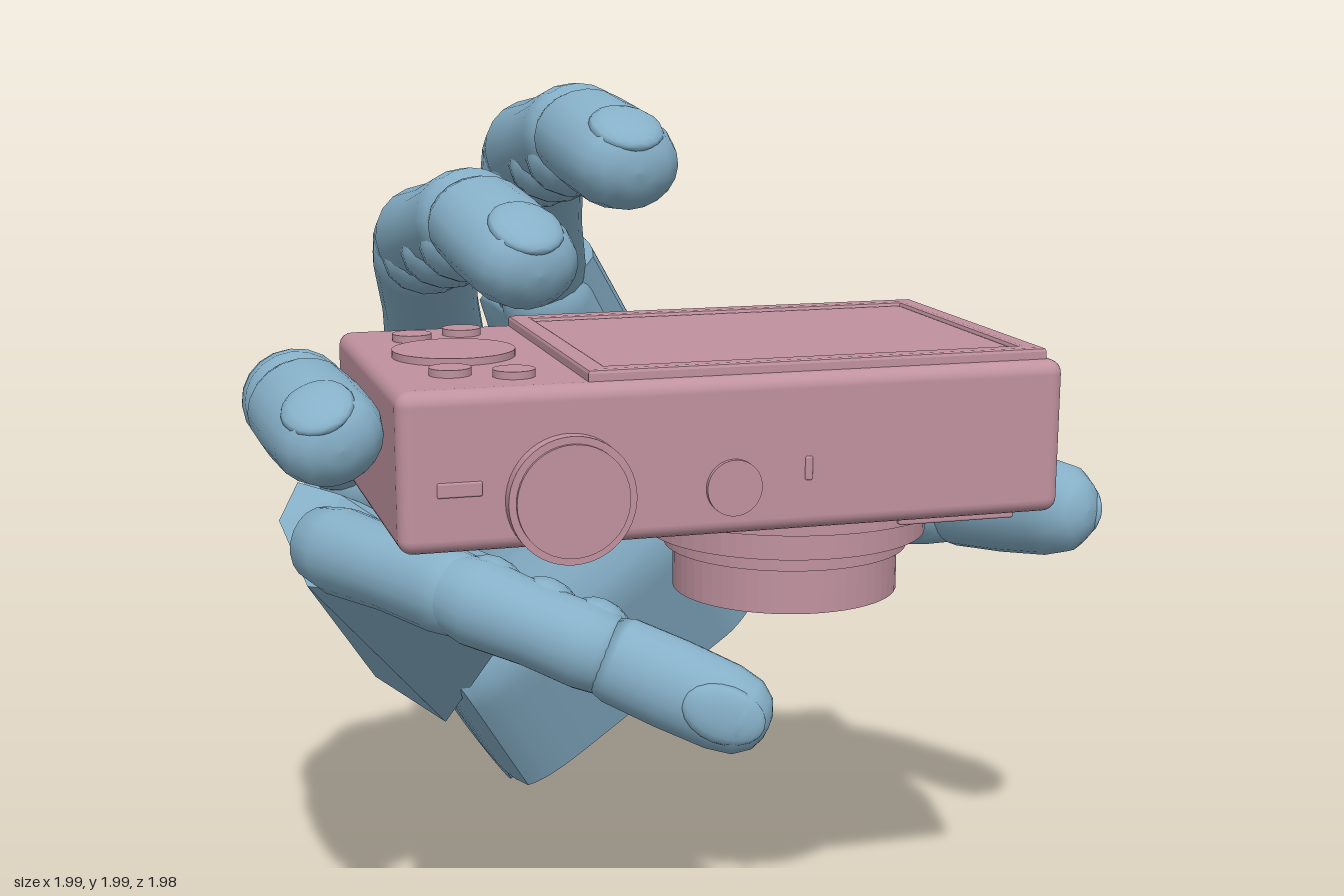
import * as THREE from 'three';
import { RoundedBoxGeometry } from 'three/addons/geometries/RoundedBoxGeometry.js';
import { ConvexGeometry } from 'three/addons/geometries/ConvexGeometry.js';

const handMat = new THREE.MeshStandardMaterial({ color: 0x86b0c8 });
const cameraMat = new THREE.MeshStandardMaterial({ color: 0xc0929f });
const V = (p) => new THREE.Vector3(...p);

function add(parent, name, geo, mat, pos = [0, 0, 0], rot = [0, 0, 0], scale = [1, 1, 1]) {
  const m = new THREE.Mesh(geo, mat);
  m.name = name;
  m.position.set(...pos);
  m.rotation.set(...rot);
  m.scale.set(...scale);
  parent.add(m);
  return m;
}

// Group whose y runs along a bone and whose z points to the back of the finger
function boneFrame(parent, name, from, to, dorsal) {
  const y = V(to).sub(V(from)).normalize();
  const x = new THREE.Vector3().crossVectors(y, V(dorsal)).normalize();
  const z = new THREE.Vector3().crossVectors(x, y);
  const g = new THREE.Group();
  g.name = name;
  g.applyMatrix4(new THREE.Matrix4().makeBasis(x, y, z).setPosition(...from));
  parent.add(g);
  return g;
}

// Bone segment: rounded ends with a slight waist
function segment(g, name, L, r0, r1, depth) {
  const pts = [[0, -0.8 * r0], [0.5 * r0, -0.68 * r0], [0.86 * r0, -0.36 * r0], [r0, 0.1 * L],
    [0.47 * (r0 + r1), 0.5 * L], [r1, 0.86 * L], [0.94 * r1, L], [0.6 * r1, L + 0.4 * r1], [0, L + 0.5 * r1]];
  add(g, name, new THREE.LatheGeometry(pts.map((p) => new THREE.Vector2(...p)), 20), handMat,
    [0, 0, 0], [0, 0, 0], [1, 1, depth]);
}

// Fingertip: blunt rounded end, with a nail on the back
function fingertip(g, L, r) {
  const pts = [[0, 0], [0.9 * r, 0], [r, 0.03], [1.03 * r, 0.4 * L], [r, 0.72 * L],
    [0.88 * r, 0.87 * L], [0.62 * r, 0.955 * L], [0.3 * r, 0.992 * L], [0, L]];
  add(g, 'fingertip', new THREE.LatheGeometry(pts.map((p) => new THREE.Vector2(...p)), 20), handMat,
    [0, 0, 0], [0, 0, 0], [1, 1, 0.86]);
  add(g, 'nail', new THREE.SphereGeometry(1, 16, 10), handMat,
    [0, 0.76 * L, 0.62 * r], [-0.25, 0, 0], [0.66 * r, 0.24 * L, 0.24 * r]);
}

// Finger along four points: knuckle, middle joint, end joint, tip
function finger(parent, name, p, r, dorsal, tipDorsal = dorsal) {
  const f = new THREE.Group();
  f.name = name;
  parent.add(f);
  for (let i = 0; i < 3; i++) {
    const L = V(p[i]).distanceTo(V(p[i + 1]));
    const g = boneFrame(f, ['lowerBone', 'middleBone', 'tipBone'][i], p[i], p[i + 1], i === 2 ? tipDorsal : dorsal);
    if (i === 2) fingertip(g, L, r[3]);
    else segment(g, 'bone', L, r[i], r[i + 1], 0.95);
    if (i === 1 && name !== 'thumb') {
      for (const t of [0.12, 0.5, 0.86]) {
        add(g, 'pad', new THREE.SphereGeometry(1, 14, 10), handMat, [0, t * L, -0.4 * r[1]], [0, 0, 0],
          [0.9 * r[1], 0.24 * L, 0.72 * r[1]]);
      }
    }
  }
}

function buildPalm(parent) {
  // Local axes: x across the hand to the thumb side, y to the knuckles, z out of the palm
  const y = V([-0.473, 0.78, 0.413]).normalize();
  const z = new THREE.Vector3().crossVectors(V([0.826, 0.548, -0.089]), y).normalize();
  const x = new THREE.Vector3().crossVectors(y, z);
  const palm = new THREE.Group();
  palm.name = 'palm';
  palm.applyMatrix4(new THREE.Matrix4().makeBasis(x, y, z).setPosition(0.11, 0.385, -0.85));
  parent.add(palm);

  // Flat back, thick heel, thinner toward the knuckles, slots between the knuckles
  const geo = new THREE.BoxGeometry(1, 1, 1, 48, 20, 8);
  const p = geo.attributes.position;
  const ss = THREE.MathUtils.smoothstep;
  for (let i = 0; i < p.count; i++) {
    const s = p.getX(i) * 2, t = p.getY(i) + 0.5, d = p.getZ(i) + 0.5;
    const slot = Math.max(...[0.32, -0.38].map((c) => Math.exp(-(((s - c) / 0.07) ** 4))));
    const b = 0.01 + t * (1.13 + 0.09 * s - 0.16 * slot * t ** 4);
    const heel = 1 - ss(b, 0.4, 0.72);
    const thick = 0.22 + 0.17 * heel * (1 - 0.35 * ss(s, 0.5, 1));
    const edge = Math.abs(s) ** 8;
    const a = s * (0.47 - 0.025 * Math.abs(2 * d - 1) ** 3) + 0.04 * Math.max(s, 0) * (1 - t);
    p.setXYZ(i, a, b, -0.025 + 0.01 * edge + d * thick * (1 - 0.1 * edge));
  }
  geo.computeVertexNormals();
  add(palm, 'palmBody', geo, handMat);

  // Rounded knuckle lobes
  for (const [a, b] of [[0.31, 1.02], [-0.02, 0.97], [-0.32, 0.92]]) {
    add(palm, 'knuckle', new THREE.CapsuleGeometry(0.12, 0.26, 8, 20), handMat, [a, b, 0.115], [0, 0, 0], [1, 1, 0.98]);
  }
  // Wrist hinge lugs and disc
  for (const [a, w, r] of [[0.4, 0.12, 0.155], [0.2, 0.08, 0.135], [-0.23, 0.08, 0.125], [-0.41, 0.11, 0.135]]) {
    add(palm, 'wristLug', new THREE.CylinderGeometry(r, r, w, 28), handMat, [a, 0.025, 0.11], [0, 0, Math.PI / 2]);
  }
  add(palm, 'wristDisc', new THREE.CylinderGeometry(0.23, 0.23, 0.035, 40), handMat, [-0.04, 0.02, 0.09], [0, 0, Math.PI / 2]);
}

function buildHand(parent) {
  const hand = new THREE.Group();
  hand.name = 'hand';
  parent.add(hand);
  buildPalm(hand);

  // Folding outer edge of the palm that carries the little finger
  add(hand, 'outerPalm', new ConvexGeometry([
    [-0.57, 0.38, -0.55], [-0.4, 0.27, -0.45], [-0.33, 0.3, -0.62], [-0.85, 0.92, -0.18], [-0.8, 0.78, -0.07],
    [-0.27, 0.67, -0.07], [-0.24, 0.73, -0.32], [-0.79, 0.99, -0.28], [-0.7, 0.98, -0.16],
  ].map(V)), handMat);

  // Thumb mount and thumb
  const m0 = [0.36, 0.64, -0.57], m1 = [0.22, 0.81, -0.56];
  segment(boneFrame(hand, 'thumbMount', m0, m1, [0, 0, 1]), 'bone', V(m0).distanceTo(V(m1)), 0.11, 0.13, 1);
  finger(hand, 'thumb', [[0.22, 0.83, -0.58], [0.46, 0.89, -0.19], [0.77, 0.95, 0.16], [0.945, 1.0, 0.55]],
    [0.145, 0.135, 0.115, 0.115], [0.85, -0.2, -0.4]);

  const up = [0, 1, 0.2];
  finger(hand, 'indexFinger', [[-0.17, 1.47, -0.31], [-0.27, 1.82, 0.08], [-0.25, 1.89, 0.47], [-0.22, 1.83, 0.82]],
    [0.125, 0.12, 0.115, 0.115], up);
  finger(hand, 'middleFinger', [[-0.43, 1.28, -0.3], [-0.53, 1.63, 0.09], [-0.49, 1.72, 0.5], [-0.43, 1.635, 0.85]],
    [0.125, 0.12, 0.115, 0.115], up);
  finger(hand, 'ringFinger', [[-0.67, 1.06, -0.28], [-0.84, 1.28, 0.12], [-0.885, 1.36, 0.57], [-0.84, 1.32, 0.91]],
    [0.115, 0.115, 0.112, 0.112], [-0.4, 1, 0.1]);
  finger(hand, 'littleFinger', [[-0.74, 0.87, -0.08], [-0.5, 0.85, 0.36], [-0.22, 0.75, 0.56], [0.09, 0.62, 0.76]],
    [0.11, 0.105, 0.1, 0.1], [-0.5, -0.4, 0.8], [-0.4, 0.1, 0.9]);
}

function buildCamera(parent) {
  const cam = new THREE.Group();
  cam.name = 'camera';
  parent.add(cam);
  const box = (name, s, pos, r) => add(cam, name, new RoundedBoxGeometry(...s, 3, r), cameraMat, pos);
  const disc = (name, r, h, pos, rot) => add(cam, name, new THREE.CylinderGeometry(r, r, h, 48), cameraMat, pos, rot);

  box('cameraBody', [1.405, 0.325, 0.795], [-0.038, 1.272, 0.557], 0.03);

  // Screen with a raised frame on the upper face
  const rect = (w, h) => [[-w, -h], [w, -h], [w, h], [-w, h]].map((q) => new THREE.Vector2(...q));
  const frame = new THREE.Shape(rect(0.485, 0.36));
  frame.holes.push(new THREE.Path(rect(0.455, 0.33).reverse()));
  add(cam, 'screenFrame', new THREE.ExtrudeGeometry(frame, {
    depth: 0.025, bevelThickness: 0.008, bevelSize: 0.008, bevelSegments: 2,
  }), cameraMat, [0.14, 1.425, 0.557], [-Math.PI / 2, 0, 0]);
  box('screen', [0.9, 0.05, 0.65], [0.14, 1.425, 0.557], 0.01);

  // Control wheel and buttons
  disc('controlWheel', 0.13, 0.03, [-0.55, 1.435, 0.55]);
  for (const [x, z] of [[-0.6, 0.77], [-0.48, 0.82], [-0.6, 0.33], [-0.48, 0.28]]) {
    disc('button', 0.043, 0.03, [x, 1.435, z]);
  }

  // Dial, shutter button and slots on the front edge
  const toFront = [Math.PI / 2, 0, 0];
  disc('dial', 0.13, 0.06, [-0.4, 1.21, 0.955], toFront);
  disc('dialCap', 0.115, 0.02, [-0.4, 1.21, 0.983], toFront);
  disc('shutterButton', 0.058, 0.03, [-0.06, 1.21, 0.95], toFront);
  box('switch', [0.09, 0.03, 0.012], [-0.62, 1.24, 0.953], 0.004);
  box('indicator', [0.016, 0.05, 0.012], [0.1, 1.24, 0.953], 0.004);

  // Stepped lens pointing down, hollow at its mouth with a square shutter
  const steps = [[0.36, 1.12], [0.36, 1.085], [0.31, 1.085], [0.31, 1.02], [0.27, 1.02], [0.27, 0.985],
    [0.25, 0.985], [0.25, 0.885], [0.1, 0.885], [0.1, 0.91], [0, 0.91]];
  const lens = new THREE.LatheGeometry(steps.reverse().map((q) => new THREE.Vector2(...q)), 56).toNonIndexed();
  lens.computeVertexNormals();
  add(cam, 'lens', lens, cameraMat, [0.19, 0, 0.56]);
  box('lensShutter', [0.12, 0.02, 0.09], [0.19, 0.905, 0.56], 0.004);

  // Small plates under the body
  box('batteryCover', [0.26, 0.03, 0.3], [0.45, 1.108, 0.76], 0.005);
  box('grip', [0.04, 0.03, 0.3], [-0.25, 1.105, 0.7], 0.005);
}

export function createModel() {
  const model = new THREE.Group();
  model.name = 'handHoldingCamera';
  buildHand(model);
  buildCamera(model);
  return model;
}
